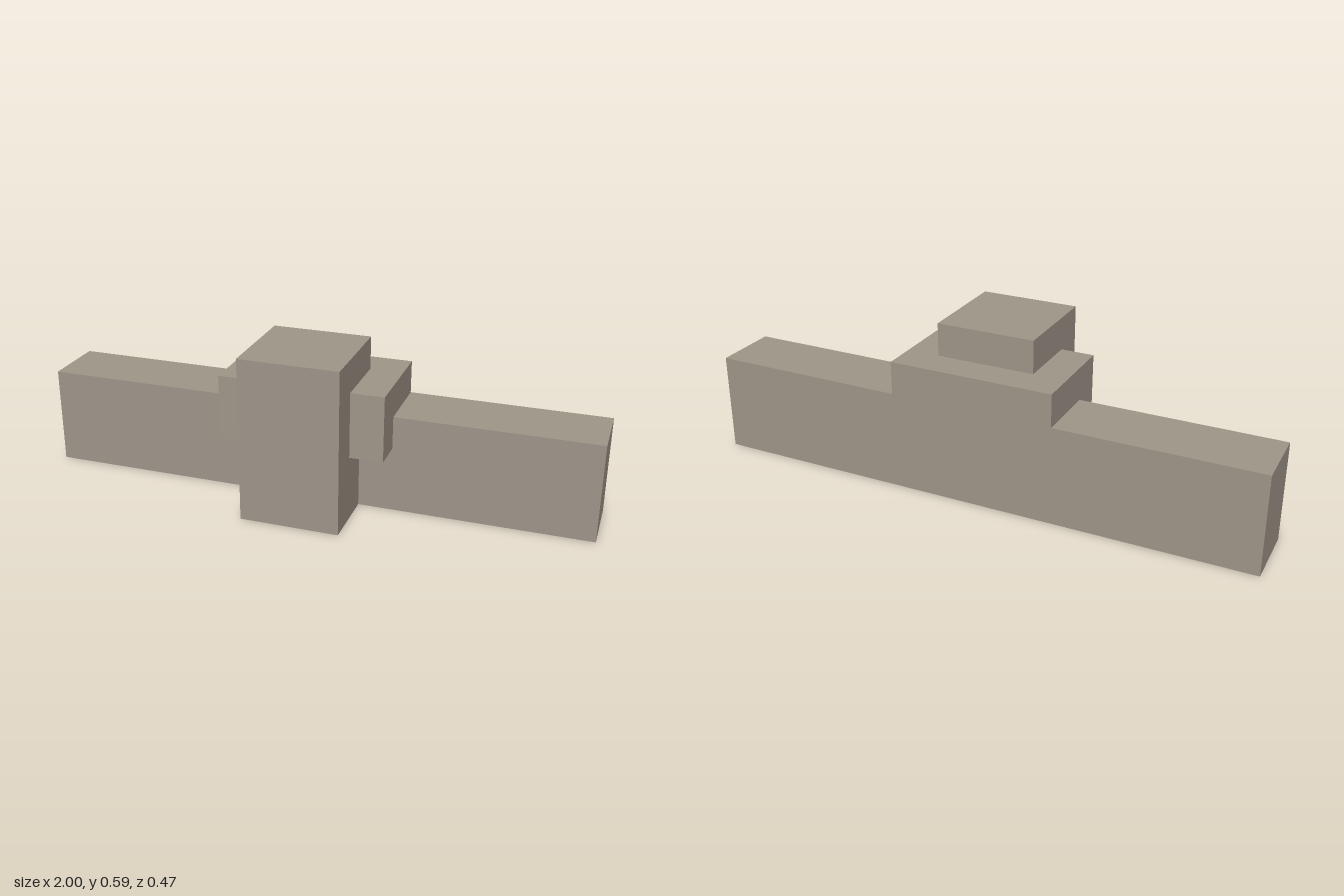
import * as THREE from 'three';

// The whole model sits on a regular grid, 34 cells across its width.
const CELL = 2 / 34;

export function createModel() {
  const model = new THREE.Group();
  model.name = 'blockWall';

  const stone = new THREE.MeshStandardMaterial({ color: 0xa0978a });
  stone.name = 'stone';

  // Box centred on x, given by its width and its y and z ranges in cells.
  function addBlock(name, width, [y0, y1], [z0, z1]) {
    const geometry = new THREE.BoxGeometry(width * CELL, (y1 - y0) * CELL, (z1 - z0) * CELL);
    const mesh = new THREE.Mesh(geometry, stone);
    mesh.name = name;
    mesh.position.set(0, ((y0 + y1) / 2) * CELL, ((z0 + z1) / 2) * CELL);
    model.add(mesh);
  }

  // Long low bar along the back
  addBlock('longBar', 34, [0, 6], [-4, 0]);
  // Raised collar gripping the middle of the bar
  addBlock('collar', 10, [4, 8], [-4, 2]);
  // Tall pillar standing in front
  addBlock('pillar', 6, [0, 10], [-2, 4]);

  return model;
}
